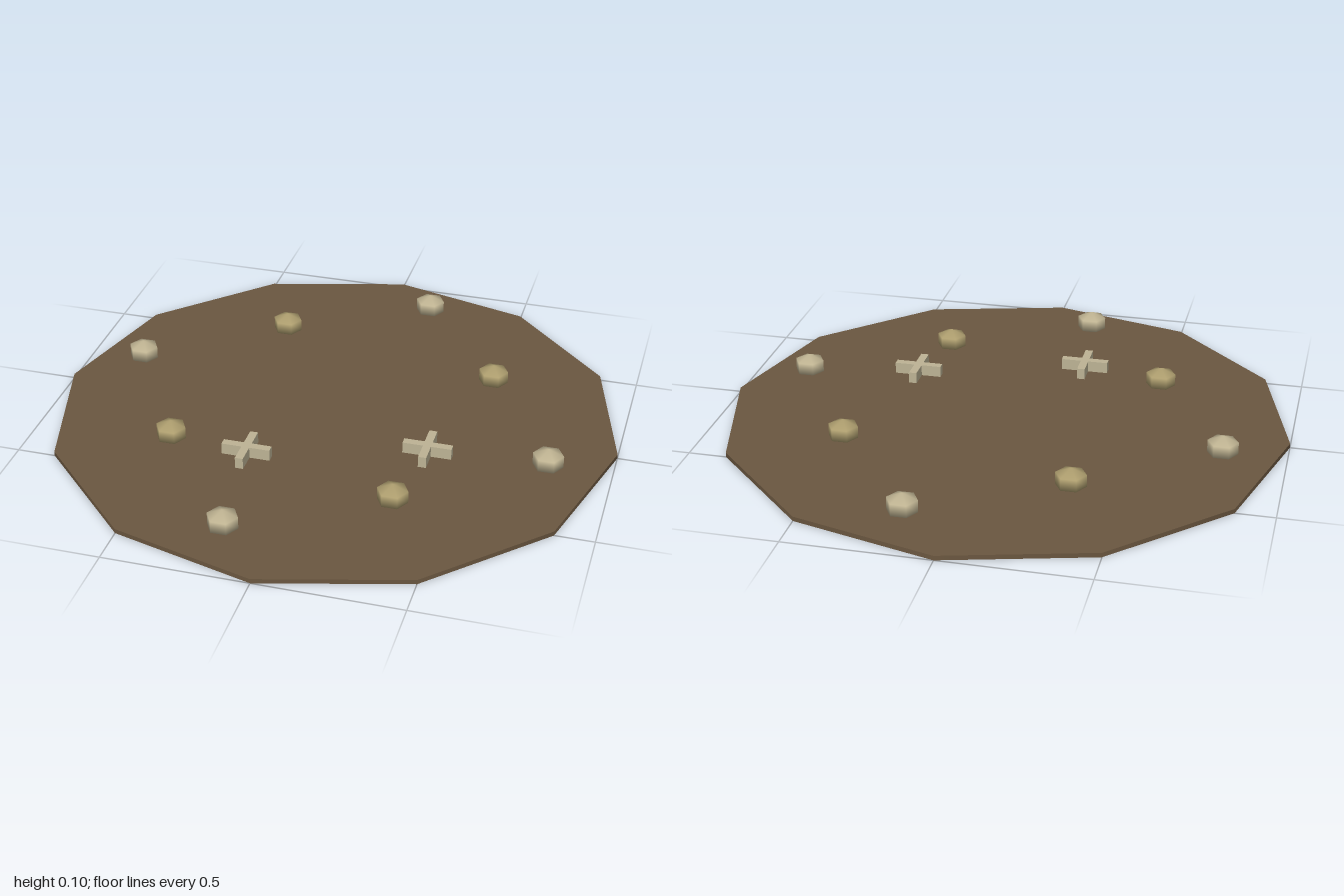
import * as THREE from 'three';

const material = (color) => new THREE.MeshStandardMaterial({ color });

export function createModel() {
  const model = new THREE.Group();
  const add = (parent, name, geometry, mat, x, y, z) => {
    const mesh = new THREE.Mesh(geometry, mat);
    mesh.name = name;
    mesh.position.set(x, y, z);
    parent.add(mesh);
    return mesh;
  };

  // Thin twelve-sided ground disc
  const thickness = 0.016;
  add(model, 'groundDisc', new THREE.CylinderGeometry(1, 1, thickness, 12), material(0x6b5740), 0, thickness / 2, 0);

  // Two rings of four squashed six-sided stones, each a quarter turn apart
  const stoneGeometry = new THREE.SphereGeometry(0.061, 6, 3).scale(1, 0.7, 1);
  const rings = [
    { name: 'innerStone', x: 0.5, z: -0.33, mat: material(0xb0a070) },
    { name: 'outerStone', x: 0.785, z: 0.16, mat: material(0xc2b694) },
  ];
  for (const { name, x, z, mat } of rings) {
    let [px, pz] = [x, z];
    for (let i = 0; i < 4; i++) {
      add(model, name + (i + 1), stoneGeometry, mat, px, 0.059, pz);
      [px, pz] = [-pz, px];
    }
  }

  // Two small crosses, each made of two crossed bars
  const barMaterial = material(0xbdb395);
  const barX = new THREE.BoxGeometry(0.17, 0.04, 0.028);
  const barZ = new THREE.BoxGeometry(0.028, 0.04, 0.17);
  [[0.38, 0.21], [-0.21, 0.38]].forEach(([x, z], i) => {
    const cross = new THREE.Group();
    cross.name = 'cross' + (i + 1);
    cross.position.set(x, 0.063, z);
    add(cross, 'sidewaysBar', barX, barMaterial, 0, 0, 0);
    add(cross, 'lengthwiseBar', barZ, barMaterial, 0, 0, 0);
    model.add(cross);
  });

  return model;
}
